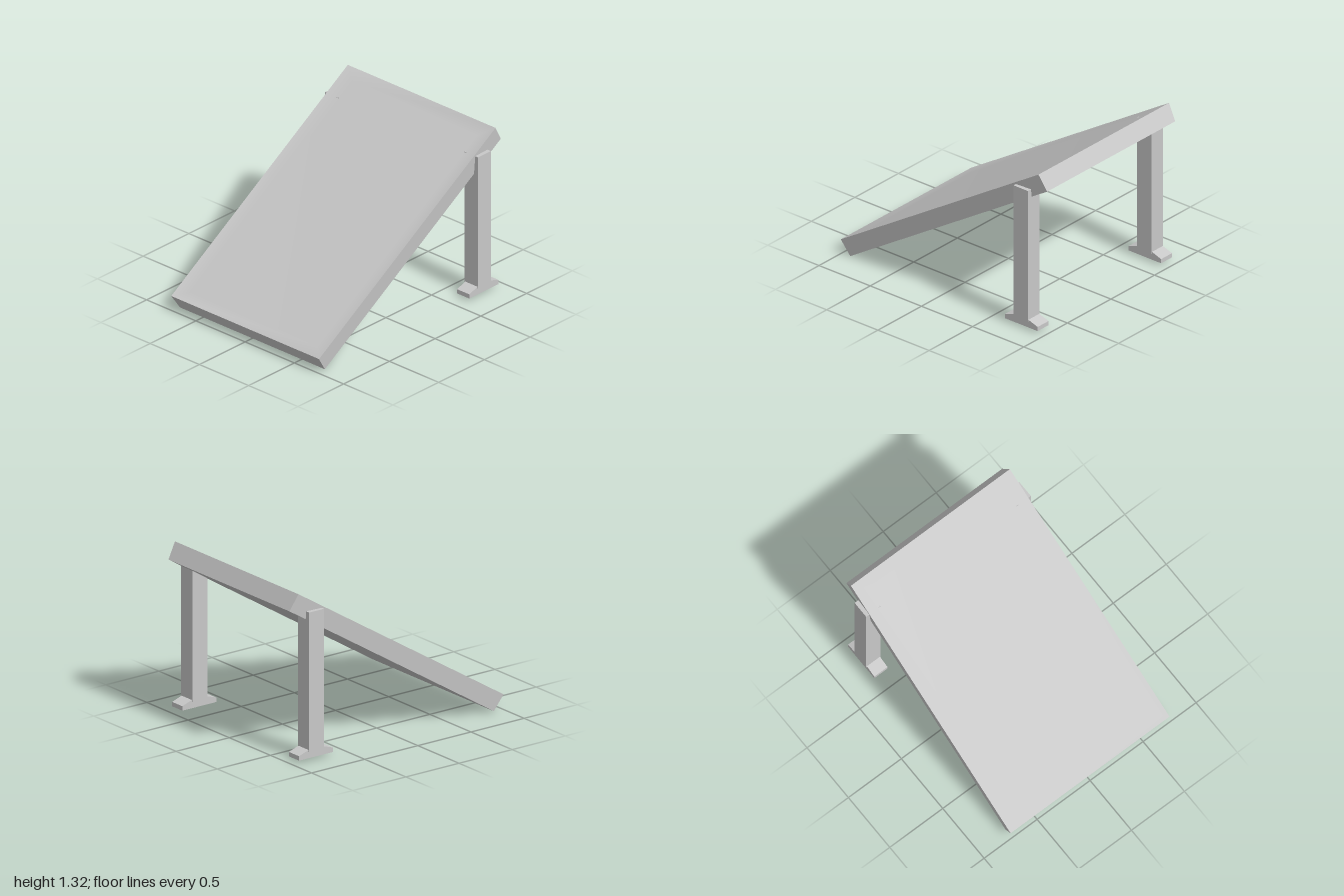
import * as THREE from 'three';

const grey = new THREE.MeshStandardMaterial({ color: 0xc8c8c8 });
grey.name = 'light grey';

// Sloped frame: s runs up the slope from the front edge, n is depth below the top plane.
const ANGLE = Math.atan2(1.205, 1.93);
const LENGTH = 2.275;
const C = Math.cos(ANGLE), S = Math.sin(ANGLE);
const onSlope = (x, s, n) => [x, 0.12 + S * s - C * n, 1 - C * s - S * n];

// Rectangle of four corners, counter-clockwise seen from above.
const ring = (hw, inset, n) => [
  onSlope(-hw, inset, n), onSlope(hw, inset, n),
  onSlope(hw, LENGTH - inset, n), onSlope(-hw, LENGTH - inset, n),
];

// Joins an outer ring to the next one, then optionally caps the last ring.
function loft(rings, cap, smooth) {
  const index = [];
  for (let r = 0; r < rings.length - 1; r++) {
    for (let i = 0; i < 4; i++) {
      const j = (i + 1) % 4, a = r * 4 + i, b = r * 4 + j;
      index.push(a, b, b + 4, a, b + 4, a + 4);
    }
  }
  if (cap) {
    const k = (rings.length - 1) * 4;
    index.push(k, k + 1, k + 2, k, k + 2, k + 3);
  }
  let g = new THREE.BufferGeometry();
  g.setAttribute('position', new THREE.Float32BufferAttribute(rings.flat(2), 3));
  g.setIndex(index);
  if (!smooth) g = g.toNonIndexed();
  g.computeVertexNormals();
  return g;
}

function addMesh(parent, name, geometry) {
  const mesh = new THREE.Mesh(geometry, grey);
  mesh.name = name;
  parent.add(mesh);
  return mesh;
}

export function createModel() {
  const model = new THREE.Group();
  model.name = 'tiltedPanel';

  const top = ring(0.75, 0, 0);
  const bottom = ring(0.735, 0.004, 0.144);

  // Shallow dished top face with a soft border
  addMesh(model, 'panelTop', loft([top, ring(0.64, 0.1, 0.02)], true, true));
  // Slightly tapered edges
  addMesh(model, 'panelEdges', loft([bottom, top], false, false));
  // Underside, wound to face down
  addMesh(model, 'panelUnderside', loft([[...bottom].reverse()], true, false));

  // Foot profile: flat base with shoulders sloping up to the post
  const profile = new THREE.Shape([
    [-0.16, 0.02], [0.16, 0.02], [0.16, 0.055], [0.07, 0.085], [-0.07, 0.085], [-0.16, 0.055],
  ].map(([x, y]) => new THREE.Vector2(x, y)));
  const footGeometry = new THREE.ExtrudeGeometry(profile, { depth: 0.124, bevelEnabled: false });
  footGeometry.translate(0, 0, -0.062).rotateY(Math.PI / 2);
  const postGeometry = new THREE.BoxGeometry(0.136, 1.1, 0.14);

  for (const side of [1, -1]) {
    const leg = new THREE.Group();
    leg.name = side > 0 ? 'leftLeg' : 'rightLeg';
    leg.position.set(side * 0.709, 0, -0.78);
    addMesh(leg, 'post', postGeometry).position.y = 0.62;
    addMesh(leg, 'foot', footGeometry);
    model.add(leg);
  }
  return model;
}
